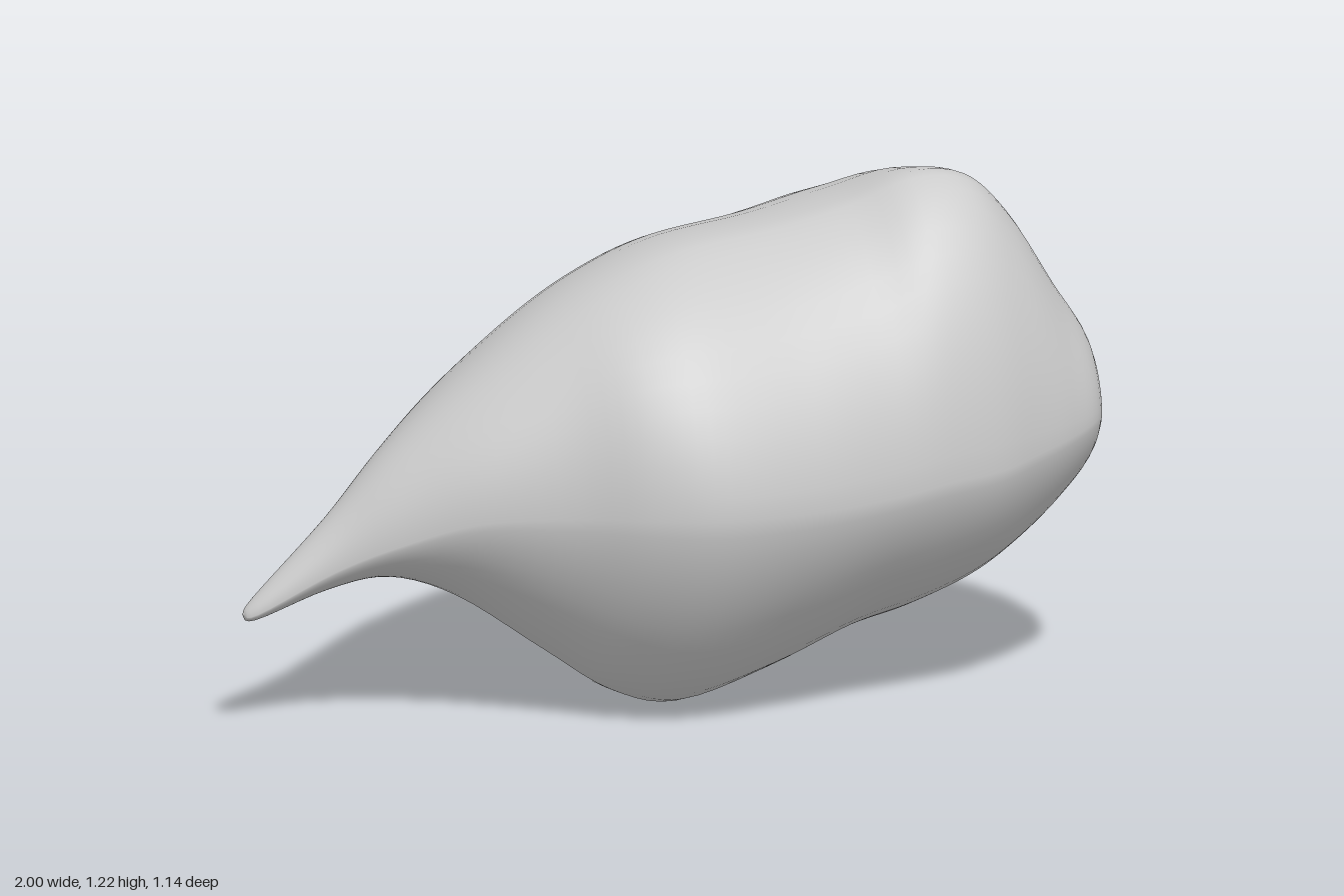
import * as THREE from 'three';

// Cross-sections along x: topY, topZ, frontY, frontZ, bottomY, bottomZ, backY, backZ
const SECTIONS = [
  [-1.0, 0.285, 0.09, 0.285, 0.09, 0.285, 0.09, 0.285, 0.09],
  [-0.97, 0.325, 0.09, 0.29, 0.12, 0.27, 0.09, 0.29, 0.06],
  [-0.8, 0.495, 0.09, 0.39, 0.17, 0.33, 0.09, 0.41, 0.02],
  [-0.66, 0.645, 0.09, 0.46, 0.24, 0.352, 0.1, 0.51, -0.06],
  [-0.5, 0.785, 0.09, 0.52, 0.325, 0.295, 0.1, 0.57, -0.19],
  [-0.3, 0.935, 0.09, 0.54, 0.42, 0.155, 0.1, 0.62, -0.31],
  [-0.14, 1.025, 0.1, 0.55, 0.52, 0.045, 0.09, 0.65, -0.4],
  [0.02, 1.08, 0.1, 0.55, 0.565, 0.0, 0.07, 0.68, -0.465],
  [0.24, 1.11, 0.09, 0.55, 0.545, 0.055, 0.03, 0.7, -0.52],
  [0.42, 1.155, 0.1, 0.56, 0.515, 0.13, 0.02, 0.72, -0.57],
  [0.56, 1.215, 0.13, 0.58, 0.495, 0.175, 0.04, 0.72, -0.525],
  [0.69, 1.205, 0.14, 0.59, 0.465, 0.24, 0.08, 0.71, -0.395],
  [0.79, 1.11, 0.15, 0.61, 0.42, 0.315, 0.11, 0.7, -0.28],
  [0.89, 0.945, 0.16, 0.63, 0.365, 0.42, 0.15, 0.69, -0.13],
  [0.97, 0.81, 0.17, 0.65, 0.295, 0.53, 0.17, 0.67, 0.04],
  [1.0, 0.66, 0.18, 0.66, 0.18, 0.66, 0.18, 0.66, 0.18],
];

const QUARTER = 12;    // points per quarter of a ring
const STEPS = 75;      // rings along the body

// Roundness of each quarter: top front, bottom front, bottom back, top back.
// The front swells towards the tail, the back flattens towards the broad end.
function roundness(x) {
  const { lerp, smoothstep } = THREE.MathUtils;
  return [
    lerp(2.08, 1.75, smoothstep(x, -0.25, 0.1)),
    1.58,
    lerp(2.15, 1.28, smoothstep(x, 0.06, 0.45)),
    lerp(1.88, 1.42, smoothstep(x, 0.35, 0.7)),
  ];
}

// Smooth rail through one extreme of every section
function rail(k) {
  return new THREE.CatmullRomCurve3(
    SECTIONS.map(s => new THREE.Vector3(s[0], s[1 + 2 * k], s[2 + 2 * k])),
    false, 'catmullrom', 0.5);
}

// Opening along the underside, next to the tail
function isOpening(x, j) {
  const start = 2 * QUARTER - 1;
  return x > -0.66 && x < -0.18 && j >= start && j < start + 4;
}

function bodyGeometry() {
  const rails = [0, 1, 2, 3].map(rail);
  const ring = QUARTER * 4;
  const positions = [];
  const indices = [];
  for (let i = 0; i <= STEPS; i++) {
    const ends = rails.map(r => r.getPoint(i / STEPS));
    const round = roundness(ends[0].x);
    for (let q = 0; q < 4; q++) {
      const a = ends[q], b = ends[(q + 1) % 4];
      const power = 2 / round[q];
      for (let j = 0; j < QUARTER; j++) {
        const t = (j / QUARTER) * Math.PI / 2;
        const c = Math.pow(Math.cos(t), power);
        const s = Math.pow(Math.sin(t), power);
        // Even quarters leave a vertical extreme, odd ones a side extreme
        const y = q % 2 === 0 ? b.y + (a.y - b.y) * c : a.y + (b.y - a.y) * s;
        const z = q % 2 === 0 ? a.z + (b.z - a.z) * s : b.z + (a.z - b.z) * c;
        positions.push(a.x, y, z);
      }
    }
  }
  for (let i = 0; i < STEPS; i++) {
    for (let j = 0; j < ring; j++) {
      const a = i * ring + j, b = i * ring + (j + 1) % ring;
      if (isOpening(positions[a * 3], j)) continue;
      if (i > 0) indices.push(a, b, a + ring);
      if (i < STEPS - 1) indices.push(b, b + ring, a + ring);
    }
  }
  const geometry = new THREE.BufferGeometry();
  geometry.setAttribute('position', new THREE.Float32BufferAttribute(positions, 3));
  geometry.setIndex(indices);
  geometry.computeVertexNormals();
  return geometry;
}

export function createModel() {
  const group = new THREE.Group();
  group.name = 'taperedBlob';
  const material = new THREE.MeshStandardMaterial({ color: 0xcccccc, side: THREE.DoubleSide });
  // Rounded lump drawn out to a pointed tail
  const body = new THREE.Mesh(bodyGeometry(), material);
  body.name = 'body';
  group.add(body);
  return group;
}
